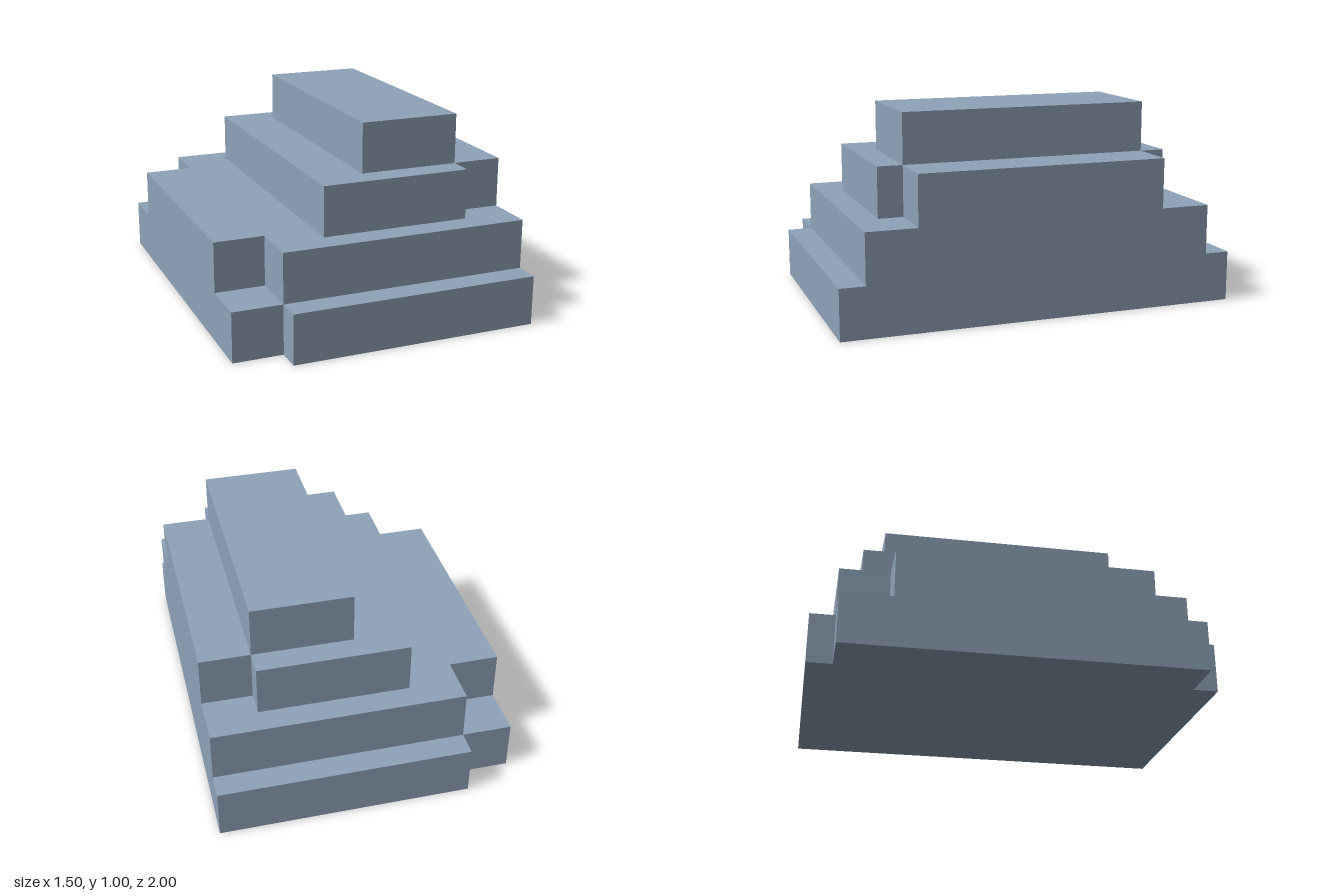
import * as THREE from 'three';

const STEP = 0.25; // height of every tier

// Each tier is a list of strips [x0, x1, half depth], running from right to left in x.
const TIERS = [
  { name: 'baseTier', strips: [[-0.75, -0.5, 0.875], [-0.5, 0.75, 1]] },
  { name: 'lowerTier', strips: [[-0.75, -0.5, 0.625], [-0.5, 0.75, 0.875]] },
  { name: 'upperTier', strips: [[-0.25, 0.5, 0.75], [0.5, 0.75, 0.625]] },
  { name: 'topBlock', strips: [[0, 0.5, 0.625]] },
];

// Outline mirrored front to back, extruded upwards by one step
function tierGeometry(strips) {
  const edge = strips.flatMap(([x0, x1, d]) => [[x0, d], [x1, d]]);
  const back = edge.map(([x, d]) => new THREE.Vector2(x, d));
  const front = edge.map(([x, d]) => new THREE.Vector2(x, -d)).reverse();
  const geometry = new THREE.ExtrudeGeometry(new THREE.Shape([...back, ...front]), {
    depth: STEP,
    bevelEnabled: false,
  });
  return geometry.rotateX(-Math.PI / 2);
}

export function createModel() {
  const model = new THREE.Group();
  model.name = 'steppedBlock';
  const slate = new THREE.MeshStandardMaterial({ color: 0x8fa3b8 });
  slate.name = 'slate blue';

  // Stack the tiers
  TIERS.forEach(({ name, strips }, i) => {
    const tier = new THREE.Mesh(tierGeometry(strips), slate);
    tier.name = name;
    tier.position.y = i * STEP;
    model.add(tier);
  });
  return model;
}
